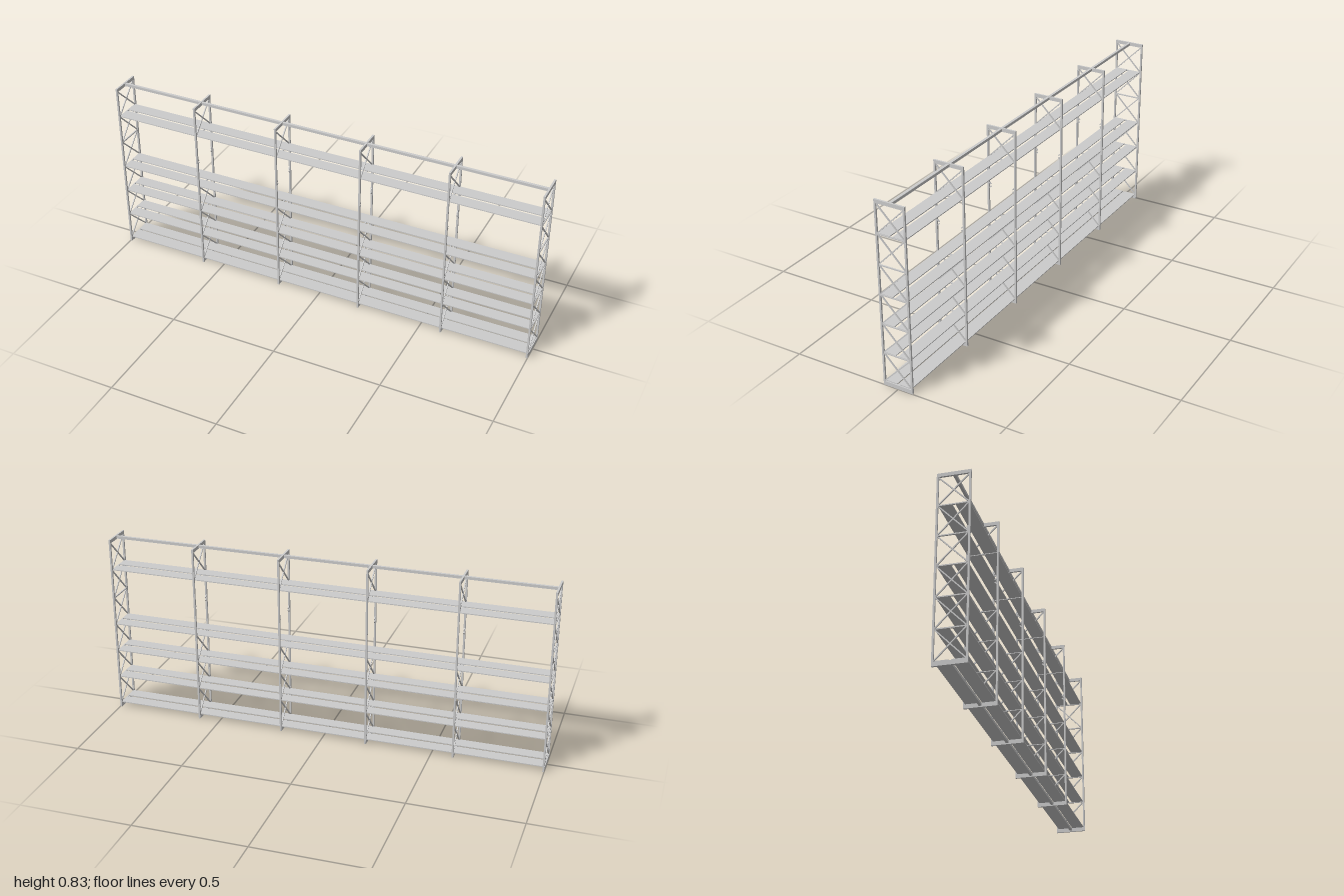
import * as THREE from 'three';

const H = 0.83, HALF_D = 0.07, POST = 0.008, FRAMES = 6;
const SPACING = (2 - POST) / (FRAMES - 1);
const RAILS = [0.02, 0.153, 0.286, 0.419, 0.551, 0.685, 0.815]; // bay boundaries
const SHELVES = [0.02, 0.153, 0.286, 0.419, 0.685];

export function createModel() {
  const model = new THREE.Group();
  const mat = new THREE.MeshStandardMaterial({ color: 0xcccccc });

  const box = (parent, name, w, h, d, x, y, z) => {
    const m = new THREE.Mesh(new THREE.BoxGeometry(w, h, d), mat);
    m.name = name;
    m.position.set(x, y, z);
    parent.add(m);
    return m;
  };

  for (let i = 0; i < FRAMES; i++) {
    const frame = new THREE.Group();
    frame.name = 'uprightFrame';
    frame.position.x = -1 + POST / 2 + i * SPACING;
    model.add(frame);
    const isEnd = i === 0 || i === FRAMES - 1;

    // posts with top and bottom rails
    for (const s of [-1, 1]) box(frame, 'post', POST, H, POST, 0, H / 2, s * (HALF_D - POST / 2));
    const inner = 2 * (HALF_D - POST);
    box(frame, 'topRail', POST, 0.016, inner, 0, H - 0.008, 0);
    box(frame, 'bottomRail', POST, 0.018, inner, 0, 0.009, 0);

    // cross rails; the inner frames are open around the fourth one
    for (let r = 1; r < RAILS.length - 1; r++) {
      if (r === 4 && !isEnd) continue;
      box(frame, 'crossRail', 0.006, 0.005, inner, 0, RAILS[r] - 0.0015, 0);
    }

    // X bracing in each closed bay
    for (let b = 0; b < RAILS.length - 1; b++) {
      if (!isEnd && (b === 3 || b === 4)) continue;
      const lo = RAILS[b] + 0.002, hi = RAILS[b + 1] - 0.003;
      const dz = inner, dy = hi - lo;
      for (const s of [-1, 1]) {
        const brace = box(frame, 'brace', 0.005, 0.005, Math.hypot(dz, dy) - 0.003, 0, (lo + hi) / 2, 0);
        brace.rotation.x = s * Math.atan2(dy, dz);
      }
    }

    // short fixing stubs beside the opening
    if (!isEnd) {
      for (const s of [-1, 1]) for (const t of [-1, 1]) {
        const stub = box(frame, 'fixingStub', 0.005, 0.005, 0.013, 0, RAILS[4] + t * 0.009, s * 0.058);
        stub.rotation.x = s * t * -Math.PI / 4;
      }
    }
  }

  // paired shelf boards with a gap along the middle, one pair per bay
  for (let i = 0; i < FRAMES - 1; i++) {
    const x = -1 + POST / 2 + (i + 0.5) * SPACING;
    for (const y of SHELVES) for (const s of [-1, 1])
      box(model, 'shelfBoard', SPACING, 0.004, 0.056, x, y + 0.001, s * 0.0345);
  }

  // long beams tying the frames together
  box(model, 'topBeam', 2 - POST, 0.012, 0.012, 0, 0.822, 0);
  box(model, 'bottomBeam', 2 - POST, 0.012, 0.012, 0, 0.011, 0);

  return model;
}
